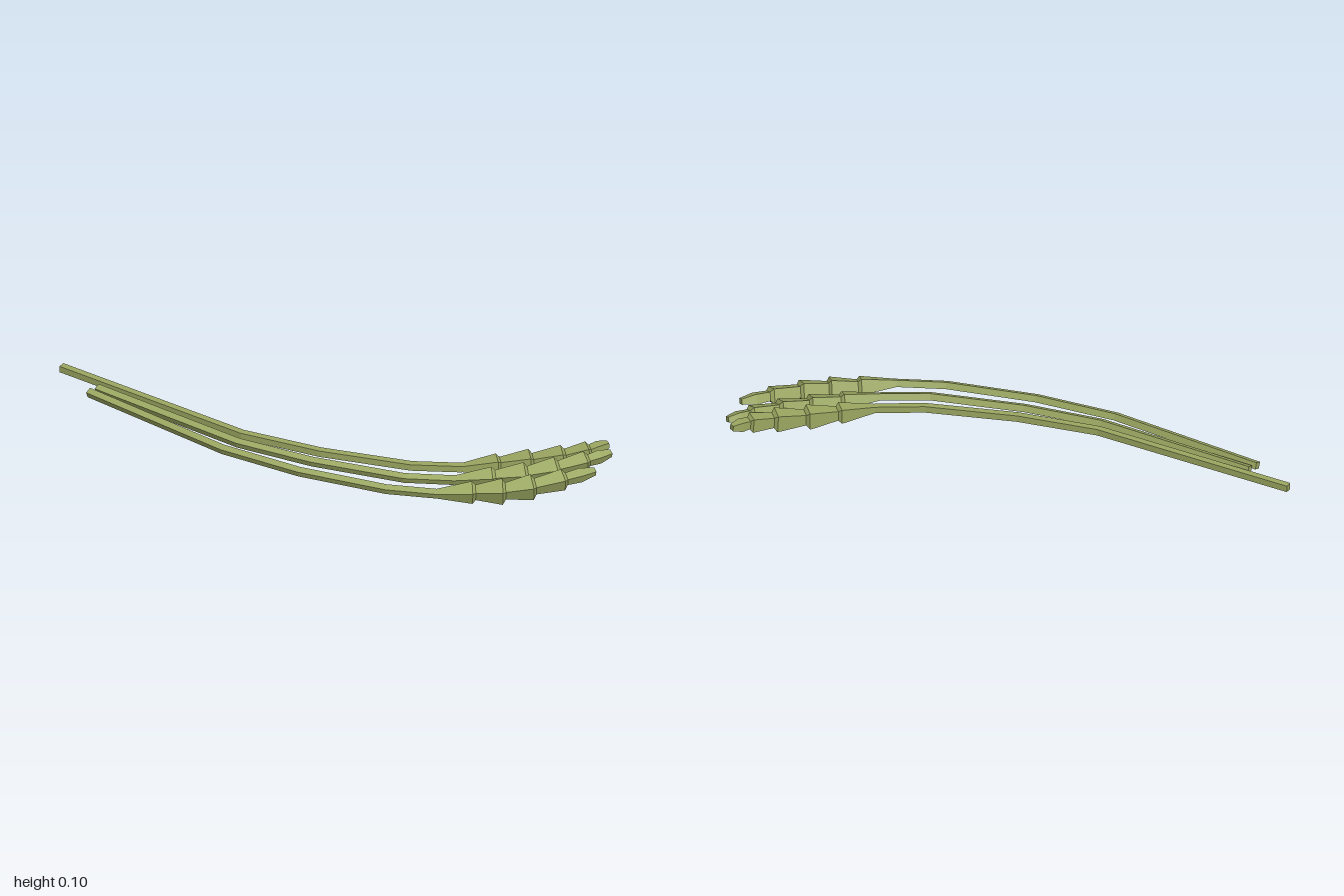
import * as THREE from 'three';

const SIDES = 4;
const material = new THREE.MeshStandardMaterial({ color: 0x9ca862, flatShading: true });

// Lofts capped square rings along stations of { p, r }, square to the path
function loft(stations, turn) {
  const pos = [], idx = [], up = new THREE.Vector3(0, 1, 0);
  const last = stations.length - 1;
  stations.forEach(({ p, r }, i) => {
    const a = stations[Math.max(i - 1, 0)].p, b = stations[Math.min(i + 1, last)].p;
    const t = b.clone().sub(a).normalize();
    const side = up.clone().cross(t).normalize();
    const lift = t.clone().cross(side);
    for (let j = 0; j < SIDES; j++) {
      const ang = turn + (j / SIDES) * Math.PI * 2;
      const v = p.clone().addScaledVector(side, Math.cos(ang) * r).addScaledVector(lift, Math.sin(ang) * r);
      pos.push(v.x, v.y, v.z);
    }
  });
  for (let i = 0; i < last; i++) {
    for (let j = 0; j < SIDES; j++) {
      const a = i * SIDES + j, b = i * SIDES + (j + 1) % SIDES;
      idx.push(a, b, b + SIDES, a, b + SIDES, a + SIDES);
    }
  }
  for (let j = 1; j < SIDES - 1; j++) {
    const e = last * SIDES;
    idx.push(0, j + 1, j, e, e + j, e + j + 1);
  }
  const g = new THREE.BufferGeometry();
  g.setAttribute('position', new THREE.Float32BufferAttribute(pos, 3));
  g.setIndex(idx);
  g.computeVertexNormals();
  return g;
}

// Ground paths [x, z]: stem from cut end to ear base, then ear joints to the tip
const FLAT = Math.PI / 4;
const stalks = [
  { name: 'backStalk', turn: FLAT, y: 0.047, scale: 0.97,
    stem: [[-1, 0.325], [-0.21, 0.29], [0.09, 0.215], [0.41, 0.092], [0.565, -0.008]],
    ear: [[0.655, -0.1], [0.74, -0.185], [0.825, -0.27], [0.885, -0.345], [0.922, -0.42]] },
  { name: 'middleStalk', turn: FLAT + 0.35, y: 0.046, scale: 0.95,
    stem: [[-0.815, 0.357], [-0.19, 0.342], [0.1, 0.282], [0.435, 0.17], [0.59, 0.074]],
    ear: [[0.69, -0.02], [0.775, -0.105], [0.85, -0.195], [0.915, -0.29], [0.965, -0.38]] },
  { name: 'frontStalk', turn: FLAT + 0.35, y: 0.045, scale: 1,
    stem: [[-0.825, 0.395], [-0.21, 0.408], [0.1, 0.362], [0.425, 0.267], [0.59, 0.183]],
    ear: [[0.69, 0.1], [0.775, 0.03], [0.85, -0.05], [0.92, -0.145], [0.988, -0.25]] },
];
const rise = [0, 0, 0.006, 0.015, 0.022];
const flare = [0.042, 0.049, 0.048, 0.04, 0.015];
const neck = [0.016, 0.024, 0.028, 0.028, 0.022];

export function createModel() {
  const model = new THREE.Group();
  for (const s of stalks) {
    const stalk = new THREE.Group();
    stalk.name = s.name;

    // Thin bent stem
    const stemPoints = s.stem.map(([x, z]) => new THREE.Vector3(x, s.y, z));
    const stem = new THREE.Mesh(loft(stemPoints.map((p) => ({ p, r: 0.018 })), s.turn), material);
    stem.name = 'stem';
    stalk.add(stem);

    // Ear of stacked flaring grains, each tucked into the one below
    const ear = new THREE.Group();
    ear.name = 'ear';
    let from = stemPoints[stemPoints.length - 1];
    s.ear.forEach(([x, z], i) => {
      const to = new THREE.Vector3(x, s.y + rise[i], z);
      const dir = to.clone().sub(from);
      const stations = [{ p: from.clone().addScaledVector(dir, -0.08), r: neck[i] * s.scale }];
      if (i === 4) stations.push({ p: from.clone().addScaledVector(dir, 0.55), r: 0.027 * s.scale });
      stations.push({ p: to, r: flare[i] * s.scale });
      if (i < 4) stations.push({ p: to.clone().addScaledVector(dir, 0.12), r: neck[i + 1] * s.scale });
      const grain = new THREE.Mesh(loft(stations, s.turn), material);
      grain.name = i < 4 ? 'grain' : 'tip';
      ear.add(grain);
      from = to;
    });
    stalk.add(ear);
    model.add(stalk);
  }
  return model;
}
